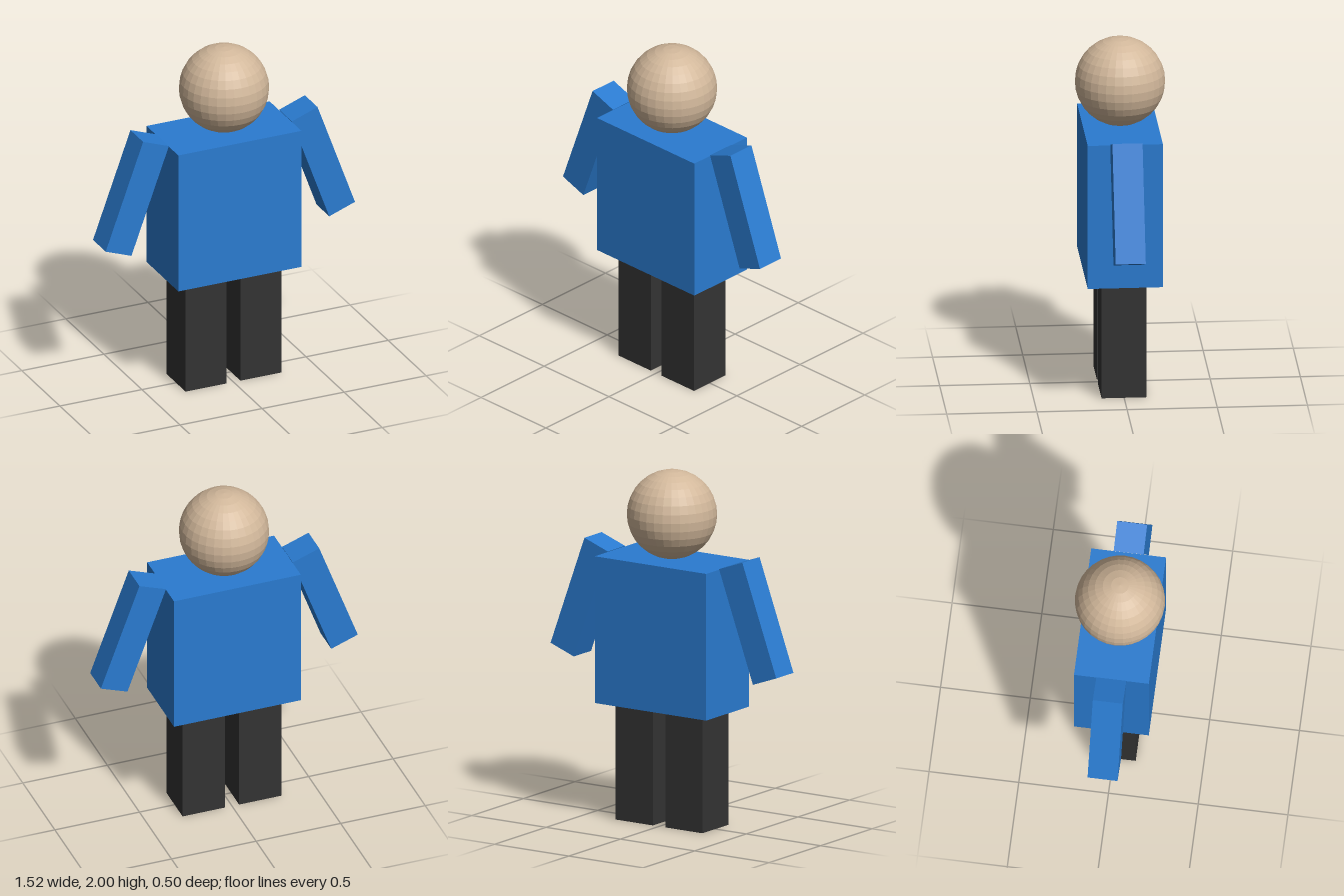
import * as THREE from 'three';

export function createModel() {
  const model = new THREE.Group();
  model.name = 'figure';

  const shirt = new THREE.MeshStandardMaterial({ color: 0x2a7bd0 });
  const trousers = new THREE.MeshStandardMaterial({ color: 0x333333 });
  const skin = new THREE.MeshStandardMaterial({ color: 0xd2b89b, flatShading: true });

  const add = (name, geometry, material, x, y) => {
    const mesh = new THREE.Mesh(geometry, material);
    mesh.name = name;
    mesh.position.set(x, y, 0);
    model.add(mesh);
    return mesh;
  };

  // Head resting on the torso
  add('head', new THREE.SphereGeometry(0.25, 32, 16), skin, 0, 1.75);
  add('torso', new THREE.BoxGeometry(0.75, 0.833, 0.417), shirt, 0, 1.083);

  // Arms splay outwards from the shoulders; legs hang straight down
  const armGeometry = new THREE.BoxGeometry(0.167, 0.667, 0.167);
  const legGeometry = new THREE.BoxGeometry(0.25, 0.667, 0.25);
  for (const [side, s] of [['left', 1], ['right', -1]]) {
    const arm = add(side + 'Arm', armGeometry, shirt, s * 0.567, 1.218);
    arm.rotation.z = s * THREE.MathUtils.degToRad(20);
    add(side + 'Leg', legGeometry, trousers, s * 0.167, 0.3335);
  }

  return model;
}
